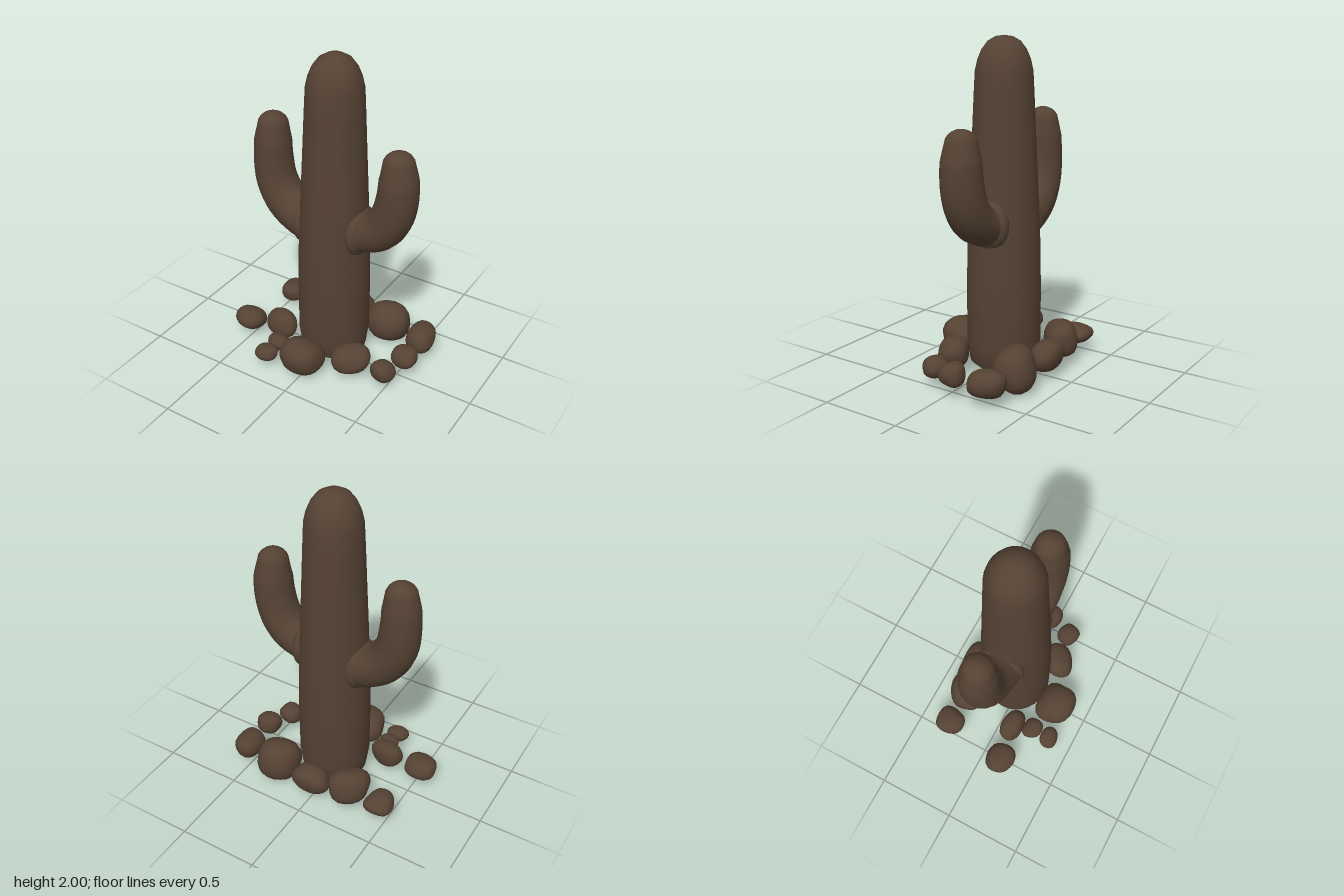
import * as THREE from 'three';
import { mergeVertices } from 'three/addons/utils/BufferGeometryUtils.js';

const AXIS_Z = -0.035;

// Arm: round cross-sections swept along a path in the xy plane, with a domed tip
function armGeometry(points, radii) {
  const curve = new THREE.CatmullRomCurve3(points.map(([x, y]) => new THREE.Vector3(x, y, 0)));
  const rings = 24, sides = 20, pos = [], index = [];
  const last = radii.length - 1;
  for (let i = 0; i <= rings; i++) {
    const t = i / rings;
    const p = curve.getPoint(t), d = curve.getTangent(t);
    const k = Math.min(Math.floor(t * last), last - 1);
    const r = THREE.MathUtils.lerp(radii[k], radii[k + 1], t * last - k);
    for (let j = 0; j < sides; j++) {
      const a = (j / sides) * Math.PI * 2;
      pos.push(p.x - d.y * r * Math.cos(a), p.y + d.x * r * Math.cos(a), r * Math.sin(a));
      if (i < rings) {
        const q = i * sides + j, n = i * sides + (j + 1) % sides;
        index.push(q, n, q + sides, n, n + sides, q + sides);
      }
    }
  }
  // rounded tip
  const end = curve.getPoint(1), dir = curve.getTangent(1), rEnd = radii[last];
  const steps = 5;
  for (let s = 1; s <= steps; s++) {
    const b = (s / steps) * Math.PI / 2, r = Math.max(rEnd * Math.cos(b), 0.0005);
    const h = rEnd * 0.85 * Math.sin(b), base = (rings + s - 1) * sides;
    for (let j = 0; j < sides; j++) {
      const a = (j / sides) * Math.PI * 2;
      pos.push(end.x + dir.x * h - dir.y * r * Math.cos(a),
        end.y + dir.y * h + dir.x * r * Math.cos(a), r * Math.sin(a));
      const q = base + j, n = base + (j + 1) % sides;
      index.push(q, n, q + sides, n, n + sides, q + sides);
    }
  }
  const g = new THREE.BufferGeometry();
  g.setAttribute('position', new THREE.Float32BufferAttribute(pos, 3));
  g.setIndex(index);
  g.computeVertexNormals();
  return g;
}

// Rock: a lumpy ball, slightly boxy, fitted to the given half sizes
function rockGeometry(seed, hx, hy, hz) {
  const ball = new THREE.IcosahedronGeometry(1, 3);
  ball.deleteAttribute('uv');
  ball.deleteAttribute('normal');
  const g = mergeVertices(ball, 1e-4);
  const p = g.attributes.position, v = new THREE.Vector3();
  for (let i = 0; i < p.count; i++) {
    v.fromBufferAttribute(p, i);
    const boxy = Math.pow(v.x ** 4 + v.y ** 4 + v.z ** 4, -0.08);
    const lump = 1 + 0.07 * Math.sin(2.3 * v.x + seed * 1.7) * Math.cos(2.1 * v.z - seed)
      + 0.05 * Math.sin(3.1 * v.y + 2.4 * v.z + seed * 2.9);
    v.multiplyScalar(boxy * lump);
    p.setXYZ(i, v.x, v.y, v.z);
  }
  g.center();
  g.computeBoundingBox();
  const m = g.boundingBox.max;
  g.scale(hx / m.x, hy / m.y, hz / m.z);
  g.computeVertexNormals();
  return g;
}

export function createModel() {
  const model = new THREE.Group();
  model.name = 'cactus';
  const brown = new THREE.MeshStandardMaterial({ color: 0x554233 });
  brown.name = 'dark brown';
  const add = (parent, name, geometry, x, y, z) => {
    const mesh = new THREE.Mesh(geometry, brown);
    mesh.name = name;
    mesh.position.set(x, y, z);
    parent.add(mesh);
    return mesh;
  };

  // Trunk: tapered column with a domed top and a closed underside
  const profile = [
    [0.001, 0.03], [0.17, 0.03], [0.205, 0.06], [0.222, 0.18], [0.223, 0.5], [0.217, 0.8],
    [0.203, 1.1], [0.188, 1.4], [0.176, 1.65], [0.168, 1.8], [0.153, 1.865], [0.13, 1.92],
    [0.095, 1.967], [0.05, 1.993], [0.001, 2.0],
  ].map(([r, y]) => new THREE.Vector2(r, y));
  add(model, 'trunk', new THREE.LatheGeometry(profile, 28), 0.02, 0, AXIS_Z);

  // Arms, each curving out of the trunk and upward
  add(model, 'rightArm', armGeometry(
    [[-0.06, 0.9], [-0.2, 0.92], [-0.32, 0.995], [-0.39, 1.11], [-0.412, 1.25], [-0.412, 1.38], [-0.408, 1.475]],
    [0.14, 0.137, 0.132, 0.126, 0.12, 0.113, 0.094]), 0, 0, AXIS_Z);
  add(model, 'leftArm', armGeometry(
    [[0.08, 0.925], [0.22, 0.935], [0.33, 0.985], [0.4, 1.08], [0.433, 1.2], [0.441, 1.33], [0.436, 1.435]],
    [0.125, 0.123, 0.126, 0.126, 0.123, 0.117, 0.094]), 0, 0, AXIS_Z);

  // Shoulders that blend the arms into the trunk
  for (const [x, y, name] of [[-0.16, 0.91, 'rightShoulder'], [0.2, 0.935, 'leftShoulder']]) {
    add(model, name, new THREE.SphereGeometry(1, 20, 14), x, y, AXIS_Z).scale.set(0.07, 0.155, 0.15);
  }

  // Ring of rocks: x, z, half width, half depth, bottom, top, turn
  const rocks = new THREE.Group();
  rocks.name = 'rocks';
  model.add(rocks);
  [
    [-0.45, -0.285, 0.09, 0.095, 0.06, 0.18, 0],
    [-0.235, -0.285, 0.13, 0.105, 0.05, 0.27, 0.5],
    [0.01, -0.34, 0.125, 0.08, 0.04, 0.23, 0],
    [0.28, -0.29, 0.135, 0.125, 0.0, 0.27, 0],
    [0.53, -0.265, 0.09, 0.11, 0.05, 0.21, 0],
    [-0.52, 0.13, 0.1, 0.095, 0.05, 0.18, 0],
    [-0.29, 0.1, 0.11, 0.07, 0.06, 0.23, 0],
    [-0.235, 0.225, 0.07, 0.065, 0.05, 0.15, 0],
    [-0.24, 0.35, 0.073, 0.058, 0.05, 0.14, 0],
    [-0.015, 0.29, 0.138, 0.125, 0.02, 0.24, 0],
    [0.265, 0.165, 0.12, 0.095, 0.05, 0.22, 0.4],
    [0.475, 0.135, 0.076, 0.07, 0.05, 0.18, -0.3],
    [0.535, -0.03, 0.08, 0.075, 0.06, 0.2, 0],
  ].forEach(([x, z, hx, hz, low, high, turn], i) => {
    const rock = add(rocks, `rock${i + 1}`, rockGeometry(i + 1, hx, (high - low) / 2, hz), x, (low + high) / 2, z);
    rock.rotation.y = turn;
  });

  return model;
}
